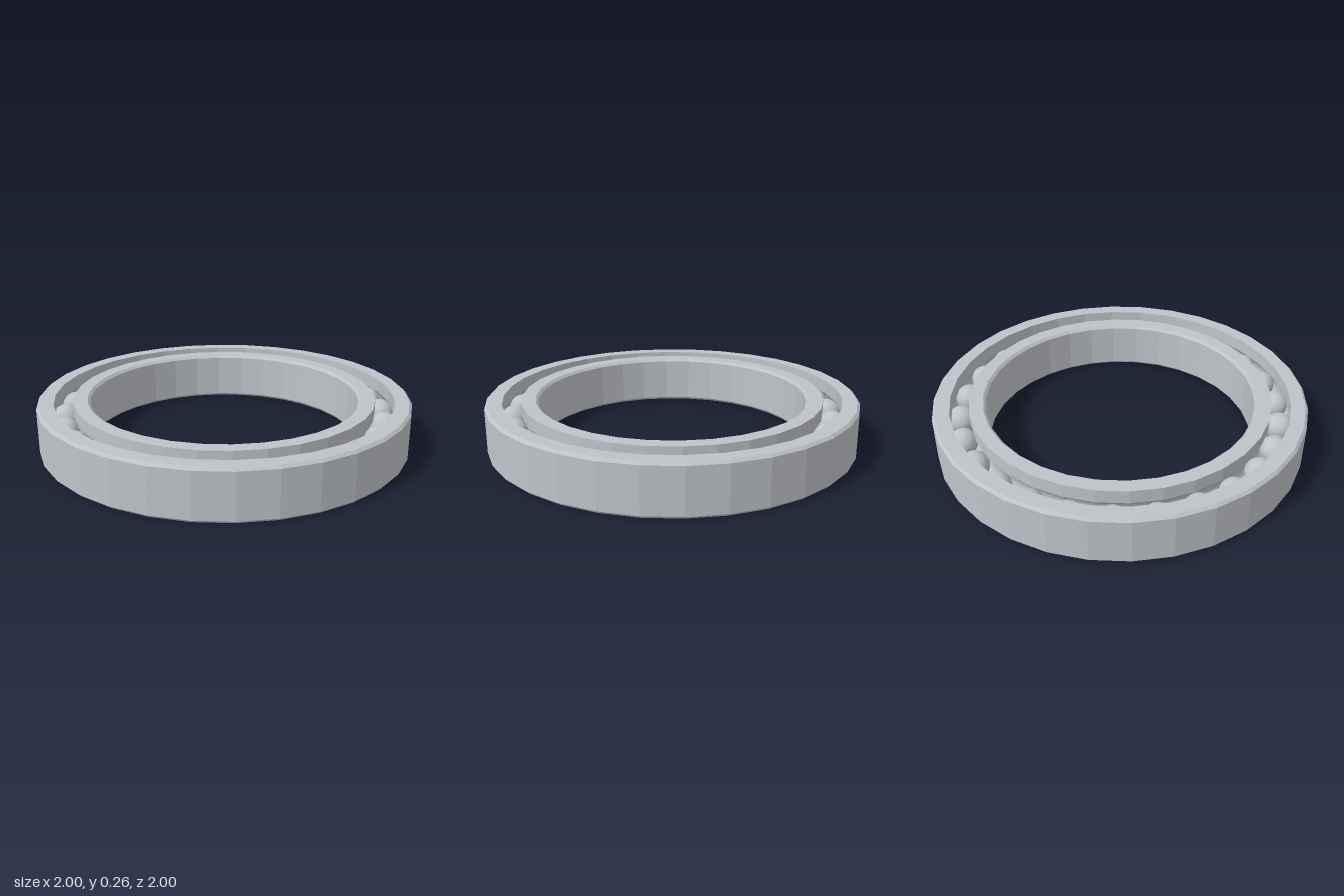
import * as THREE from 'three';

const HEIGHT = 0.265;
const CHAMFER = 0.014;
const PITCH = 0.86; // radius of the ball circle
const BALL = 0.075;
const BALL_COUNT = 26;
const SIDES = 32;

// Points of a ball groove cut into the wall at radius r; dir is +1 for outward facing walls
function groove(r, dir) {
  const radius = BALL + 0.003;
  const half = Math.acos(Math.abs(PITCH - r) / radius);
  const points = [];
  for (let i = 0; i <= 8; i++) {
    const a = -half + (2 * half * i) / 8;
    points.push([PITCH - dir * radius * Math.cos(a), HEIGHT / 2 + radius * Math.sin(a)]);
  }
  return points;
}

// Closed ring turned from a counterclockwise profile
function ring(name, profile, material) {
  const points = [...profile, profile[0]].map(([x, y]) => new THREE.Vector2(x, y));
  const mesh = new THREE.Mesh(new THREE.LatheGeometry(points, SIDES), material);
  mesh.name = name;
  return mesh;
}

export function createModel() {
  const model = new THREE.Group();
  model.name = 'ballBearing';
  const steel = new THREE.MeshStandardMaterial({ color: 0xbfc3c8, flatShading: true });
  steel.name = 'steel';

  // Outer race: chamfered outside, grooved inside
  model.add(ring('outerRace', [
    [0.91, 0], [1 - CHAMFER, 0], [1, CHAMFER], [1, HEIGHT - CHAMFER],
    [1 - CHAMFER, HEIGHT], [0.91, HEIGHT], ...groove(0.91, -1).reverse(),
  ], steel));

  // Inner race: grooved outside, chamfered bore
  model.add(ring('innerRace', [
    [0.735, 0], [0.81, 0], ...groove(0.81, 1), [0.81, HEIGHT],
    [0.735, HEIGHT], [0.721, HEIGHT - CHAMFER], [0.721, CHAMFER],
  ], steel));

  // Balls, evenly spaced between the races
  const balls = new THREE.Group();
  balls.name = 'balls';
  const ballGeometry = new THREE.IcosahedronGeometry(BALL, 4);
  for (let i = 0; i < BALL_COUNT; i++) {
    const a = (i / BALL_COUNT) * Math.PI * 2;
    const ball = new THREE.Mesh(ballGeometry, steel);
    ball.name = 'ball';
    ball.position.set(PITCH * Math.cos(a), HEIGHT / 2, PITCH * Math.sin(a));
    balls.add(ball);
  }
  model.add(balls);
  return model;
}
